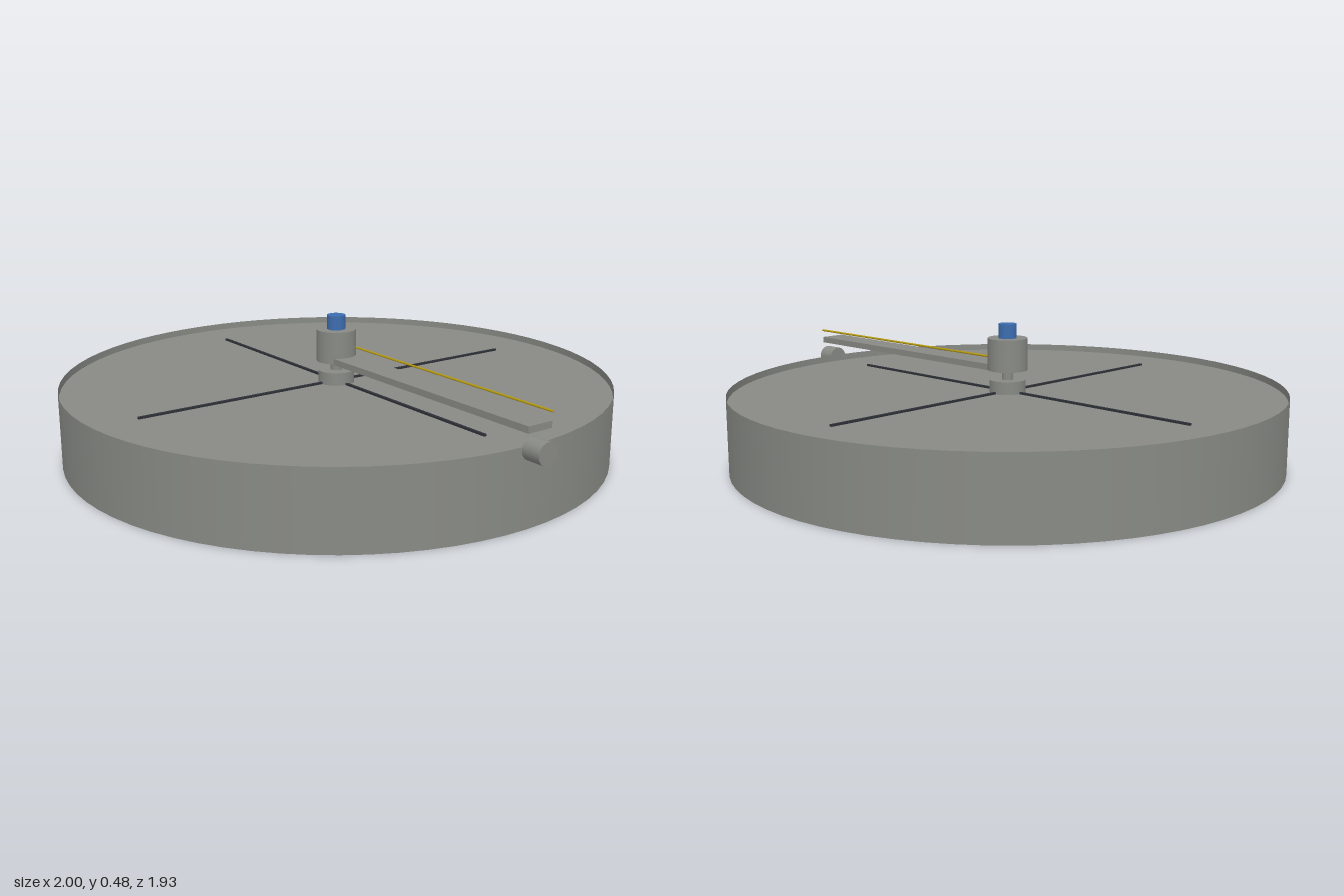
import * as THREE from 'three';

export function createModel() {
  const model = new THREE.Group();
  model.name = 'rotatingArmTank';

  const paint = (name, color, side = THREE.FrontSide) => {
    const m = new THREE.MeshStandardMaterial({ color, side });
    m.name = name;
    return m;
  };
  const grey = paint('grey metal', 0x888a85);
  const shell = paint('grey sheet', 0x888a85, THREE.DoubleSide);
  const blue = paint('blue cap', 0x3d6db0);
  const yellow = paint('yellow wire', 0xb59a10);
  const dark = paint('dark groove', 0x2e3138);

  const CX = -0.035; // axis of the tank
  const add = (name, geometry, material, x, y, z) => {
    const mesh = new THREE.Mesh(geometry, material);
    mesh.name = name;
    mesh.position.set(x, y, z);
    model.add(mesh);
    return mesh;
  };
  // Upright cylinder on the tank axis, from y0 to y1
  const turned = (name, r, y0, y1, material, sides = 32) =>
    add(name, new THREE.CylinderGeometry(r, r, y1 - y0, sides), material, CX, (y0 + y1) / 2, 0);

  // Tank: thin wall standing slightly above the top plate
  const R = 0.965;
  add('tankWall', new THREE.CylinderGeometry(R, R, 0.262, 72, 1, true), shell, CX, 0.131, 0);
  turned('tankBody', R - 0.002, 0, 0.238, grey, 72);

  // Cross marks on the plate
  for (const angle of [0, Math.PI / 2]) {
    const bar = add('crossMark', new THREE.BoxGeometry(1.55, 0.008, 0.01), dark, CX, 0.241, 0);
    bar.rotation.y = angle;
  }

  // Central bearing, spindle, hub and cap
  turned('bearingFlange', 0.064, 0.236, 0.283, grey);
  turned('spindle', 0.02, 0.28, 0.34, grey);
  turned('hub', 0.07, 0.317, 0.43, grey);
  turned('hubCap', 0.032, 0.42, 0.48, blue);

  // Arm with a wire along its rear edge
  add('arm', new THREE.BoxGeometry(0.98, 0.022, 0.095), grey, 0.475, 0.326, 0);
  const wire = add('wire', new THREE.CylinderGeometry(0.004, 0.004, 0.955, 8), yellow, 0.4875, 0.365, -0.048);
  wire.rotation.z = Math.PI / 2;

  // Sideways knob at the rim
  const knob = add('rimKnob', new THREE.CylinderGeometry(0.037, 0.037, 0.068, 24), grey, 0.966, 0.254, 0);
  knob.rotation.z = Math.PI / 2;

  return model;
}
